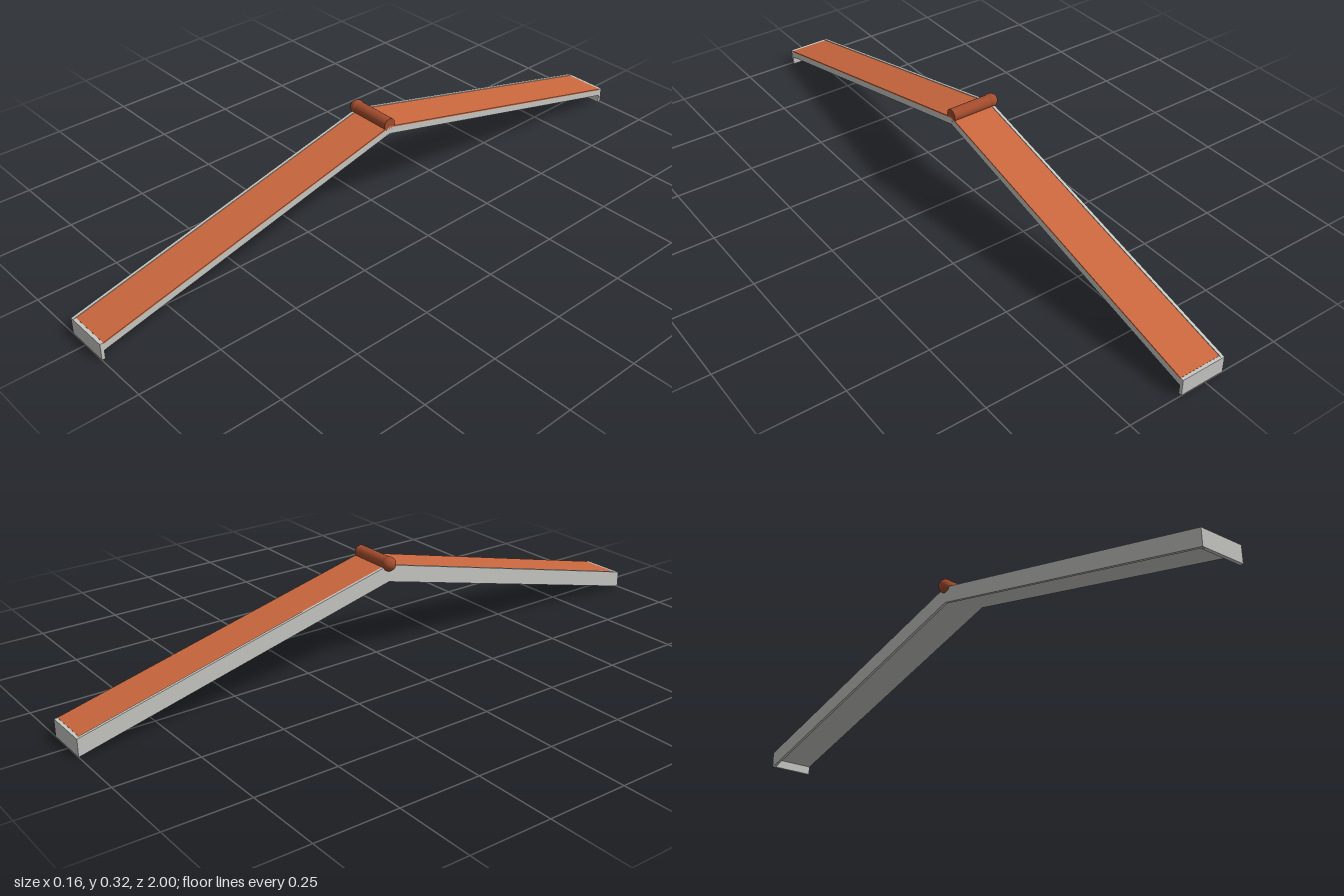
import * as THREE from 'three';

const RISE = 0.248; // height gained from eave (|z| = 1) to ridge (z = 0)

// Gabled band: yTop / yBottom are heights at |z| = 1, extruded from x0 to x1
function gable(yTop, yBottom, half, x0, x1) {
  const at = (y, z) => y + RISE * (1 - z);
  const s = new THREE.Shape();
  s.moveTo(-half, at(yBottom, half));
  s.lineTo(0, at(yBottom, 0));
  s.lineTo(half, at(yBottom, half));
  s.lineTo(half, at(yTop, half));
  s.lineTo(0, at(yTop, 0));
  s.lineTo(-half, at(yTop, half));
  s.closePath();
  const g = new THREE.ExtrudeGeometry(s, { depth: x1 - x0, bevelEnabled: false });
  g.rotateY(Math.PI / 2);
  g.translate(x0, 0, 0);
  return g;
}

export function createModel() {
  const group = new THREE.Group();
  const trim = new THREE.MeshStandardMaterial({ name: 'light grey trim', color: 0xc8c8c5 });
  const tile = new THREE.MeshStandardMaterial({ name: 'terracotta roof', color: 0xcc683e });
  const ridgeMat = new THREE.MeshStandardMaterial({ name: 'dark terracotta ridge', color: 0xa34c2d });

  const add = (name, geometry, material) => {
    const mesh = new THREE.Mesh(geometry, material);
    mesh.name = name;
    group.add(mesh);
    return mesh;
  };

  // Sloping deck with a thin coloured covering
  add('roofDeck', gable(0.046, 0.025, 0.99, -0.053, 0.08), trim);
  add('roofCovering', gable(0.05, 0.046, 0.99, -0.053, 0.08), tile);

  // Deep board along the closed gable side
  add('gableBoard', gable(0.052, 0, 1, -0.062, -0.053), trim);

  // Eave boards closing both low ends
  for (const side of [1, -1]) {
    const board = add(side > 0 ? 'frontEaveBoard' : 'backEaveBoard',
      new THREE.BoxGeometry(0.133, 0.052, 0.01), trim);
    board.position.set(0.0135, 0.026, side * 0.995);
  }

  // Round ridge cap with a ball at the gable end
  const ridge = add('ridgeCap', new THREE.CylinderGeometry(0.02, 0.02, 0.14, 24), ridgeMat);
  ridge.rotation.z = Math.PI / 2;
  ridge.position.set(0.01, 0.303, 0);
  const ball = add('ridgeBall', new THREE.SphereGeometry(0.022, 24, 16), ridgeMat);
  ball.position.set(-0.06, 0.303, 0);

  return group;
}
